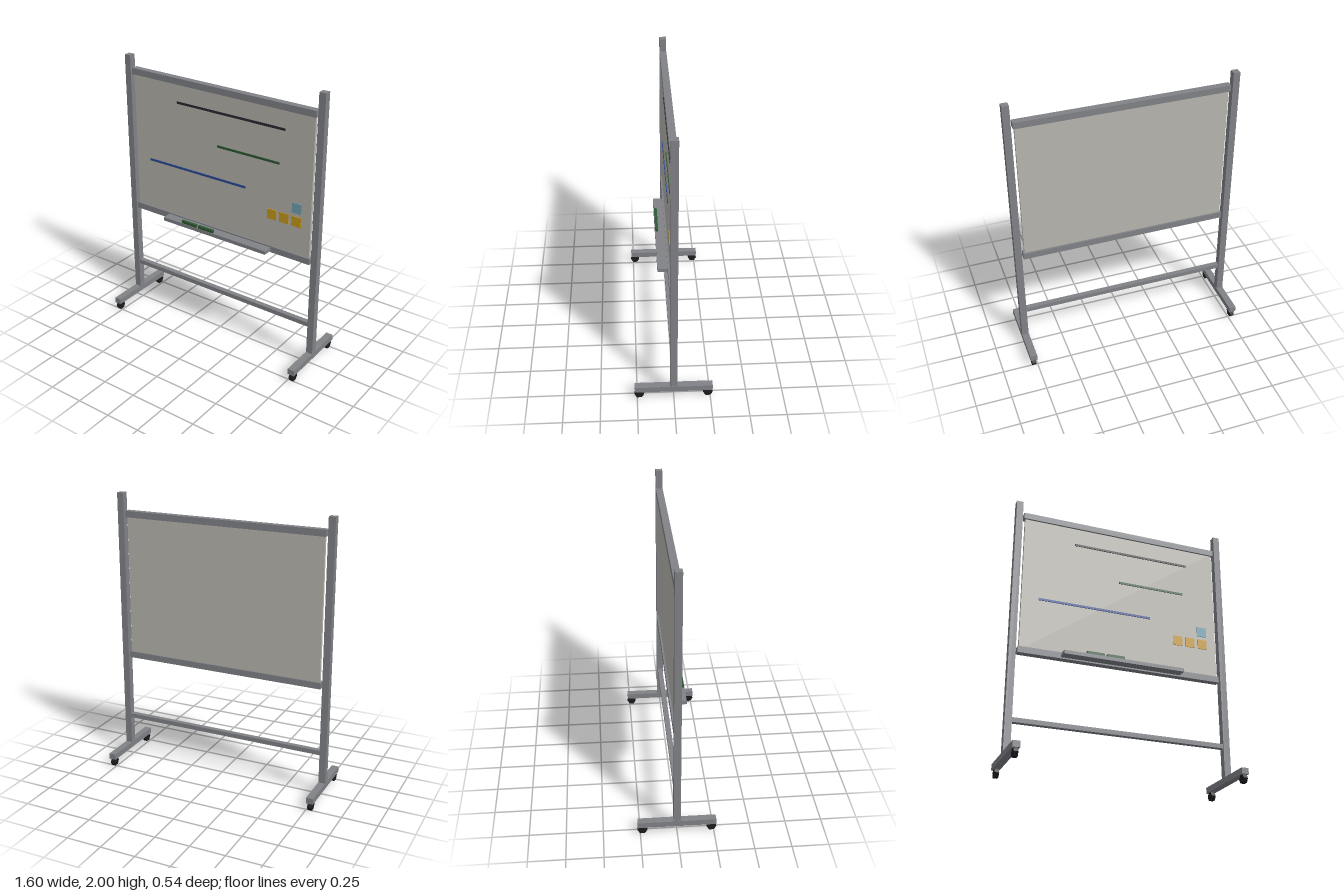
import * as THREE from 'three';

export function createModel() {
  const model = new THREE.Group();
  model.name = 'mobileWhiteboard';

  const mat = (color) => new THREE.MeshStandardMaterial({ color });
  const metal = mat(0x808287);
  const panel = mat(0xb8b5ae);
  const rubber = mat(0x1c1c1f);
  const black = mat(0x2a2a30);
  const green = mat(0x2e5a35);
  const blue = mat(0x2c4a94);
  const yellow = mat(0xc89a1c);
  const paleBlue = mat(0x6fa3b5);
  rubber.flatShading = true;

  // Box given by its minimum and maximum on each axis
  function box(name, material, [x0, x1], [y0, y1], [z0, z1], parent = model) {
    const mesh = new THREE.Mesh(new THREE.BoxGeometry(x1 - x0, y1 - y0, z1 - z0), material);
    mesh.position.set((x0 + x1) / 2, (y0 + y1) / 2, (z0 + z1) / 2);
    mesh.name = name;
    parent.add(mesh);
    return mesh;
  }

  // Side stands: post, foot and two casters each; the left post is a little taller
  for (const side of [-1, 1]) {
    const stand = new THREE.Group();
    stand.name = side > 0 ? 'leftStand' : 'rightStand';
    stand.position.x = side * 0.776;
    box('post', metal, [-0.024, 0.024], [0.055, side > 0 ? 2 : 1.962], [-0.024, 0.024], stand);
    box('foot', metal, [-0.025, 0.025], [0.055, 0.097], [-0.266, 0.266], stand);
    for (const end of [-1, 1]) {
      const caster = new THREE.Mesh(new THREE.CylinderGeometry(0.033, 0.033, 0.03, 6), rubber);
      caster.rotation.z = Math.PI / 2;
      caster.position.set(0, 0.0286, end * 0.235);
      caster.name = 'caster';
      stand.add(caster);
    }
    model.add(stand);
  }

  // Crossbar between the posts
  box('crossbar', metal, [-0.755, 0.755], [0.302, 0.334], [-0.018, 0.018]);

  // Board with rails along its top and bottom
  box('boardPanel', panel, [-0.73, 0.73], [0.81, 1.85], [-0.011, 0.011]);
  box('topRail', metal, [-0.74, 0.74], [1.83, 1.875], [-0.024, 0.024]);
  box('bottomRail', metal, [-0.74, 0.74], [0.79, 0.835], [-0.024, 0.024]);

  // Pen tray and markers
  box('penTray', metal, [-0.438, 0.436], [0.8, 0.826], [0.02, 0.093]);
  for (const x of [-0.275, -0.13]) {
    box('marker', green, [x, x + 0.127], [0.826, 0.846], [0.07, 0.09]);
  }

  // Written lines
  const lines = [[black, -0.355, 0.515, 1.698], [green, -0.017, 0.48, 1.456], [blue, -0.61, 0.217, 1.213]];
  for (const [material, x0, x1, y] of lines) {
    box('writtenLine', material, [x0, x1], [y - 0.008, y + 0.008], [0.01, 0.016]);
  }

  // Sticky notes
  const notes = [[yellow, 0.431, 1.073], [yellow, 0.527, 1.073], [yellow, 0.623, 1.073], [paleBlue, 0.623, 1.171]];
  for (const [material, x, y] of notes) {
    box('stickyNote', material, [x - 0.036, x + 0.036], [y - 0.036, y + 0.036], [0.01, 0.016]);
  }

  return model;
}
